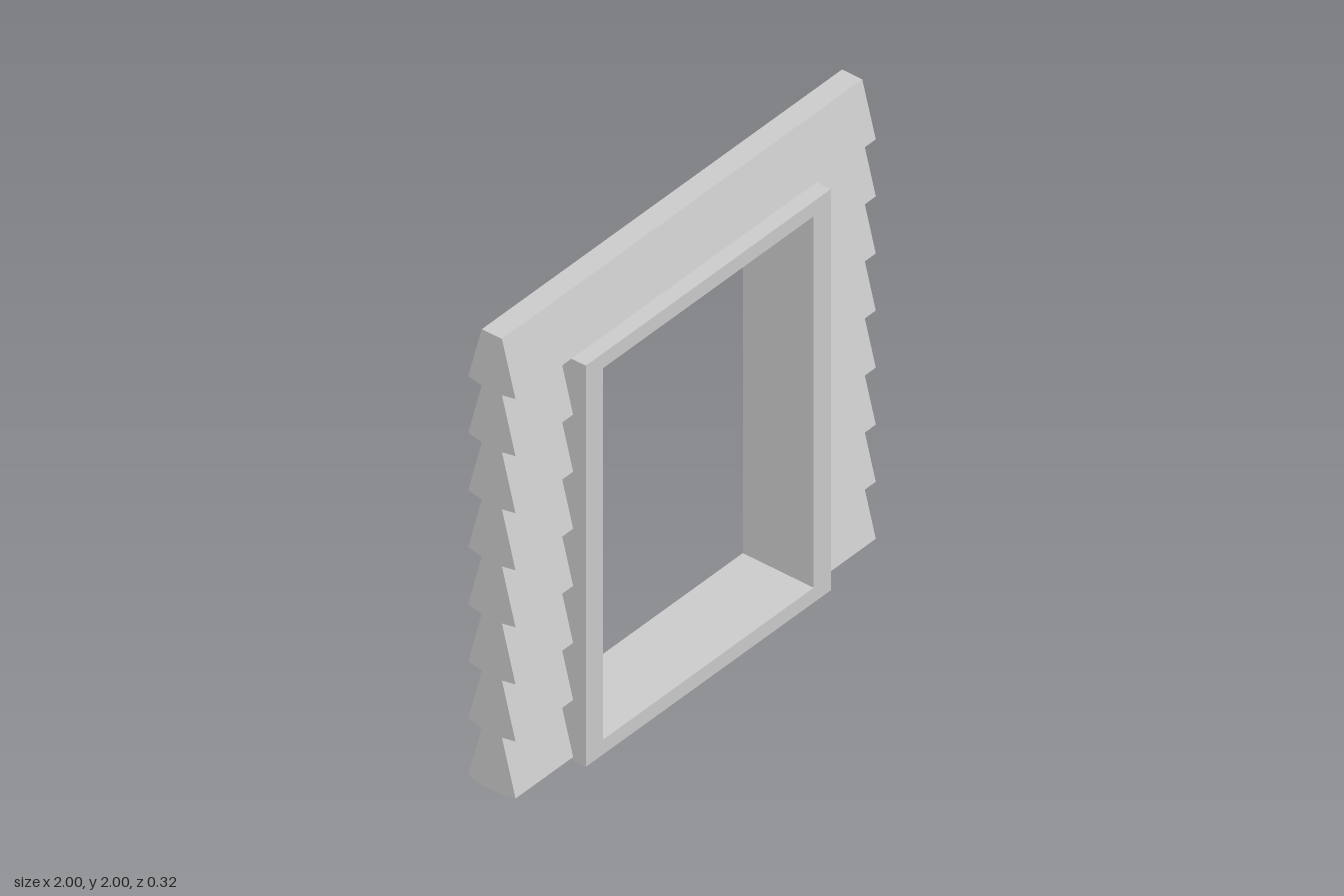
import * as THREE from 'three';

const grey = new THREE.MeshStandardMaterial({ color: 0xcccccc });
grey.name = 'plain grey';

const COURSE = 0.25; // height of one board
const MID = -0.004;  // centre plane of the boards
const OUTER = 0.108; // half thickness at a board's lower edge
const INNER = 0.046; // half thickness at a board's upper edge

// Saw-tooth section of stacked boards, extruded along x
function boards(name, first, count, x0, x1) {
  const side = [];
  for (let k = first; k < first + count; k++) {
    const y = k * COURSE;
    side.push([INNER, y + 0.004], [OUTER, y + 0.016]);
  }
  const end = (first + count) * COURSE;
  side.push([INNER, end === 2 ? 2 : end + 0.004]);
  const front = side.map(([d, y]) => new THREE.Vector2(-(MID + d), y));
  const back = side.map(([d, y]) => new THREE.Vector2(-(MID - d), y)).reverse();
  const geo = new THREE.ExtrudeGeometry(new THREE.Shape([...front, ...back]), {
    depth: x1 - x0, bevelEnabled: false,
  });
  geo.rotateY(Math.PI / 2).translate(x0, 0, 0);
  const mesh = new THREE.Mesh(geo, grey);
  mesh.name = name;
  return mesh;
}

function rectangle(Type, x, y0, y1) {
  return new Type([
    new THREE.Vector2(-x, y0), new THREE.Vector2(x, y0),
    new THREE.Vector2(x, y1), new THREE.Vector2(-x, y1),
  ]);
}

export function createModel() {
  const model = new THREE.Group();
  model.name = 'windowWall';

  // Boards beside the opening, and the full-width board above it
  model.add(boards('leftBoards', 0, 7, 0.64, 1));
  model.add(boards('rightBoards', 0, 7, -1, -0.64));
  model.add(boards('topBoard', 7, 1, -1, 1));

  // Deep frame around the opening
  const outline = rectangle(THREE.Shape, 0.68, 0, 1.757);
  outline.holes.push(rectangle(THREE.Path, 0.585, 0.065, 1.692));
  const geo = new THREE.ExtrudeGeometry(outline, { depth: 0.324, bevelEnabled: false });
  geo.translate(0, 0, -0.162);
  const frame = new THREE.Mesh(geo, grey);
  frame.name = 'windowFrame';
  model.add(frame);

  return model;
}
